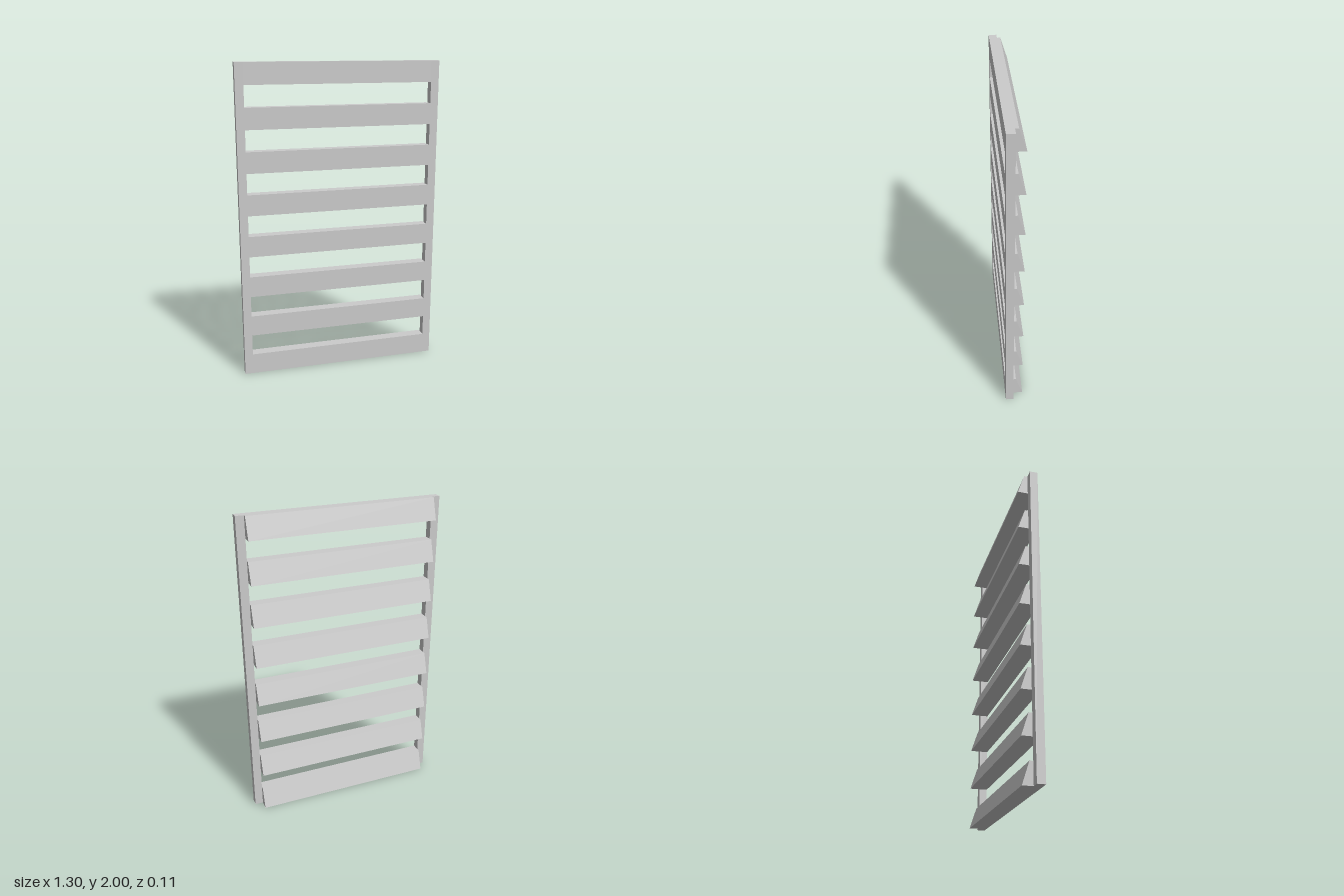
import * as THREE from 'three';

const HEIGHT = 2, HALF_WIDTH = 0.648, INNER = 0.596;
const FRONT = 0.057, STILE_BACK = 0.007;
const SLATS = 8, SLAT_HEIGHT = HEIGHT / (2 * SLATS - 1);

export function createModel() {
  const group = new THREE.Group();
  const material = new THREE.MeshStandardMaterial({ color: 0xcccccc, flatShading: true });

  // Upright stiles on both sides
  const stileGeometry = new THREE.BoxGeometry(HALF_WIDTH - INNER, HEIGHT, FRONT - STILE_BACK);
  for (const side of [-1, 1]) {
    const stile = new THREE.Mesh(stileGeometry, material);
    stile.name = side > 0 ? 'leftStile' : 'rightStile';
    stile.position.set(side * (HALF_WIDTH + INNER) / 2, HEIGHT / 2, (FRONT + STILE_BACK) / 2);
    group.add(stile);
  }

  // Slat cross-section (depth, height): flush front, back sloping out downwards
  const profile = new THREE.Shape([
    new THREE.Vector2(FRONT, 0),
    new THREE.Vector2(FRONT, SLAT_HEIGHT),
    new THREE.Vector2(-0.014, SLAT_HEIGHT),
    new THREE.Vector2(-0.057, 0),
  ]);
  const slatGeometry = new THREE.ExtrudeGeometry(profile, { depth: 2 * INNER, bevelEnabled: false });
  slatGeometry.rotateY(-Math.PI / 2).translate(INNER, 0, 0);

  // Evenly spaced slats, gaps as tall as the slats
  for (let i = 0; i < SLATS; i++) {
    const slat = new THREE.Mesh(slatGeometry, material);
    slat.name = `slat${i + 1}`;
    slat.position.y = i * 2 * SLAT_HEIGHT;
    group.add(slat);
  }
  return group;
}
